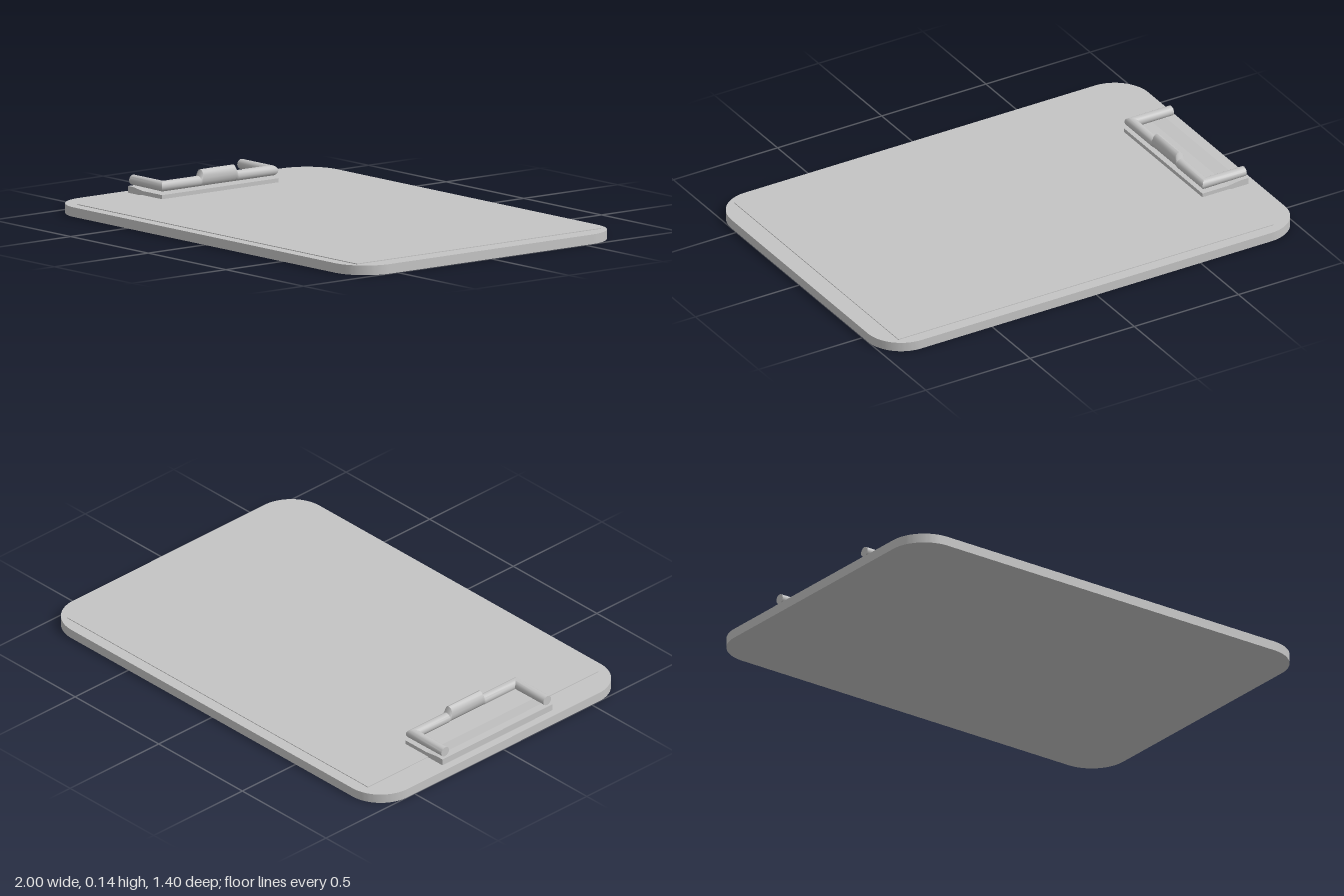
import * as THREE from 'three';
import { toCreasedNormals } from 'three/addons/utils/BufferGeometryUtils.js';

const gray = new THREE.MeshStandardMaterial({ color: 0xc4c4c4 });
gray.name = 'light gray';

function addPart(group, name, geometry) {
  const mesh = new THREE.Mesh(geometry, gray);
  mesh.name = name;
  group.add(mesh);
  return mesh;
}

// Rounded slab lying flat, y from 0 to height
function boardGeometry(w, d, r, height) {
  const x = w / 2, y = d / 2;
  const s = new THREE.Shape();
  s.absarc(x - r, y - r, r, 0, Math.PI / 2);
  s.absarc(-x + r, y - r, r, Math.PI / 2, Math.PI);
  s.absarc(-x + r, -y + r, r, Math.PI, Math.PI * 1.5);
  s.absarc(x - r, -y + r, r, Math.PI * 1.5, Math.PI * 2);
  const g = new THREE.ExtrudeGeometry(s, { depth: height, bevelEnabled: false, curveSegments: 16 });
  g.rotateX(-Math.PI / 2);
  return toCreasedNormals(g, 0.6);
}

// Loft of elliptical rings; each ring is { x, z, ox, oz, low, high }
function wireGeometry(rings, sides = 16) {
  const pos = [], index = [];
  for (const k of rings) {
    const cy = (k.low + k.high) / 2, ry = (k.high - k.low) / 2;
    for (let j = 0; j < sides; j++) {
      const a = (j / sides) * Math.PI * 2, c = Math.cos(a);
      pos.push(k.x + c * k.ox, cy + Math.sin(a) * ry, k.z + c * k.oz);
    }
  }
  for (let i = 0; i < rings.length - 1; i++) {
    for (let j = 0; j < sides; j++) {
      const a = i * sides + j, b = i * sides + (j + 1) % sides;
      index.push(a, a + sides, b, b, a + sides, b + sides);
    }
  }
  const last = (rings.length - 1) * sides;
  for (let j = 1; j < sides - 1; j++) {
    index.push(0, j, j + 1, last, last + j + 1, last + j);
  }
  const g = new THREE.BufferGeometry();
  g.setAttribute('position', new THREE.Float32BufferAttribute(pos, 3));
  g.setIndex(index);
  return toCreasedNormals(g, 0.6);
}

export function createModel() {
  const model = new THREE.Group();
  model.name = 'clipboard';

  addPart(model, 'board', boardGeometry(2, 1.4, 0.16, 0.04));

  // Thin sheet of paper
  const paper = addPart(model, 'paper', new THREE.BoxGeometry(1.8, 0.004, 1.3));
  paper.position.set(0.02, 0.041, 0);

  const clip = new THREE.Group();
  clip.name = 'clip';
  model.add(clip);

  // Base plate, raised along its outer edge
  const profile = new THREE.Shape([
    [-0.965, 0.04], [-0.745, 0.04], [-0.745, 0.06], [-0.87, 0.06], [-0.93, 0.068], [-0.965, 0.068],
  ].map(([x, y]) => new THREE.Vector2(x, y)));
  const plate = new THREE.ExtrudeGeometry(profile, { depth: 0.62, bevelEnabled: false });
  plate.translate(0, 0, -0.31);
  addPart(clip, 'basePlate', plate);

  // Bent wire with mitred corners and a raised thumb grip in the middle
  const r = 0.022, armZ = 0.288, barX = -0.768, low = 0.07, high = 0.114;
  const half = [
    { x: -0.958, z: armZ, ox: 0, oz: r, low: low + 0.002, high },
    { x: barX, z: armZ, ox: r, oz: r, low, high },
    { x: barX, z: 0.1, ox: r, oz: 0, low, high },
    { x: barX, z: 0.088, ox: r, oz: 0, low, high: 0.14 },
  ];
  const mirrored = half.map(k => ({ ...k, z: -k.z, oz: -k.oz })).reverse();
  addPart(clip, 'wireLever', wireGeometry([...half, ...mirrored]));

  return model;
}
